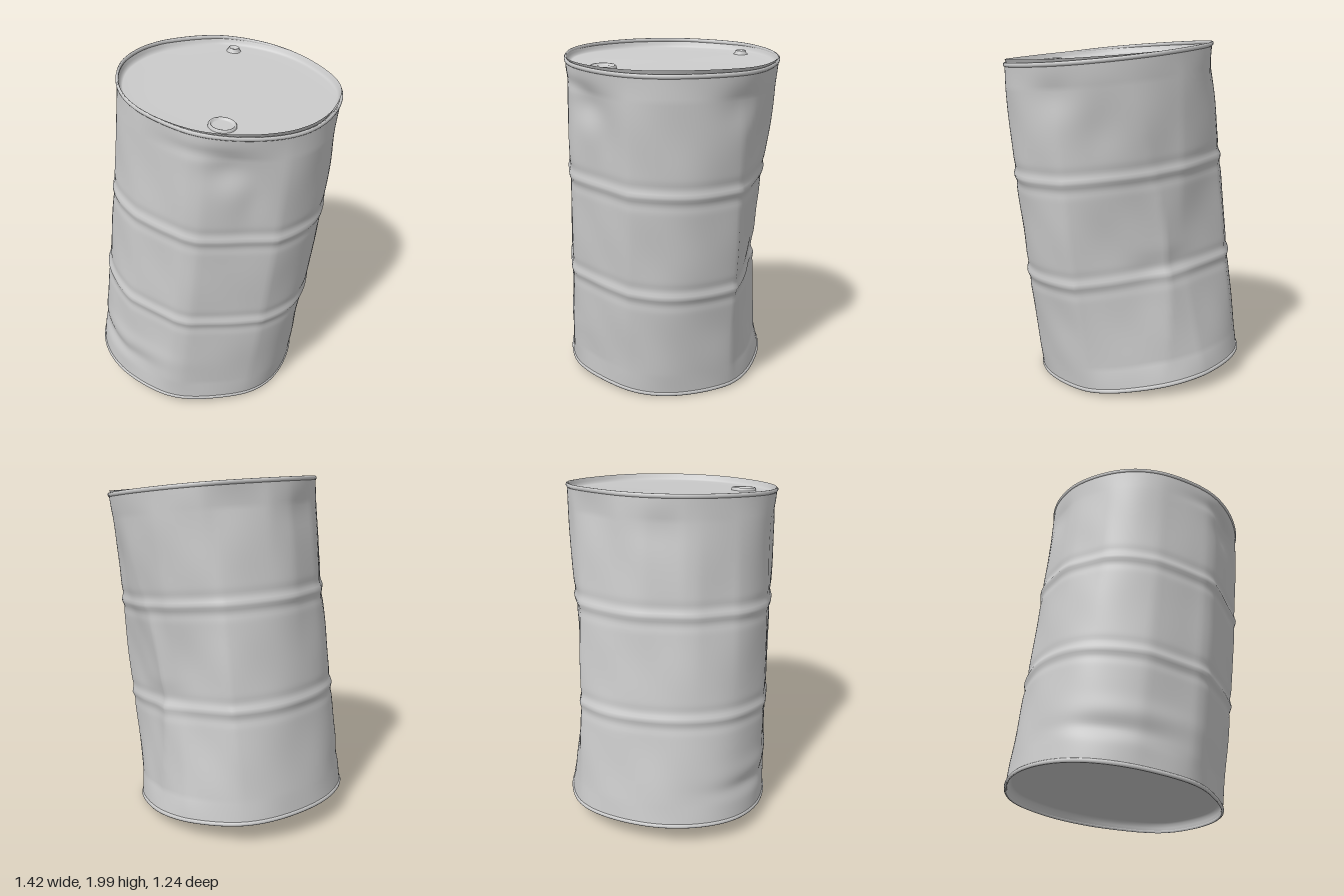
import * as THREE from 'three';
import { mergeVertices } from 'three/addons/utils/BufferGeometryUtils.js';

const H = 1.868;         // drum height along its own axis
const R = 0.603;         // wall radius
const LID_DROP = 0.04;   // lid sits below the top rim
const BASE_RISE = 0.055; // base sits above the bottom rim
const LID_SLOPE = 0.03;  // lid is pressed in unevenly
const SEGMENTS = 144;
const material = new THREE.MeshStandardMaterial({ color: 0xcccccc, side: THREE.DoubleSide });

const bell = (d, w) => Math.exp(-(d * d) / (w * w));
const turn = (a, b) => Math.atan2(Math.sin(a - b), Math.cos(a - b));

// Flattened areas: [direction, distance from axis, height, spread along height]
const flats = [
  [-1.2, 0.5, 0.74, 0.7],
  [-1.82, 0.52, 0.76, 0.55],
  [1.55, 0.583, 0.95, 1.0],
  [0.8, 0.565, 0.95, 0.75],
  [3.0, 0.594, 1.6, 0.45],
  [2.5, 0.592, 1.3, 0.4],
  [-2.55, 0.575, 1.87, 0.3],
];

// Local dents (negative depth bulges): [direction, height, angular width, height width, depth]
const dents = [
  [0.95, 1.66, 0.2, 0.1, 0.028],
  [1.2, 1.76, 0.3, 0.04, 0.012],
  [0.7, 1.5, 0.14, 0.16, 0.012],
  [0.0, 1.4, 0.4, 0.5, -0.014],
  [0.0, 0.6, 0.4, 0.4, -0.006],
  [2.05, 0.2, 0.42, 0.05, 0.016],
  [1.8, 0.3, 0.5, 0.06, -0.008],
  [-0.6, 1.7, 0.2, 0.12, 0.02],
  [-0.95, 1.48, 0.18, 0.14, 0.012],
  [-0.5, 0.4, 0.25, 0.18, 0.012],
  [-1.55, 0.7, 0.3, 0.07, 0.014],
  [3.1, 1.7, 0.3, 0.12, 0.01],
];

// Broad swelling that also carries the rims: [direction, height, angular width, height width, amount]
const swells = [
  [-0.72, 0.9, 0.32, 3, 0.018],
  [2.36, 0, 0.4, 0.5, 0.02],
  [2.36, 0.9, 0.4, 0.5, 0.012],
  [2.36, H, 0.4, 0.3, -0.008],
  [-2.36, 0, 0.4, 0.6, 0.02],
  [-2.36, 0.9, 0.35, 0.5, 0.012],
  [0.785, 0, 0.4, 0.5, -0.02],
];

const bumps = (list, a, t) => list.reduce((sum, [dir, height, wa, wt, amount]) =>
  sum + amount * bell(turn(a, dir), wa) * bell(t - height, wt), 0);

// Battered wall radius at a direction and height
function wallRadius(a, t) {
  const hold = Math.min(1, Math.max(0, Math.min(t, H - t) / 0.14)); // rims stay stiff
  let r = R;
  for (const [dir, dist, height, spread] of flats) {
    const c = Math.cos(turn(a, dir));
    if (c < 0.5) continue;
    const cut = r - dist / c;
    if (cut > 0) r -= cut * bell(t - height, spread) * (0.3 + 0.7 * hold);
  }
  const ripple = 0.003 * Math.sin(5 * a + 4 * t) * Math.sin(7 * t + 2 * Math.cos(a))
    + 0.002 * Math.sin(11 * a - 6 * t + 1) * Math.sin(9 * t);
  const outOfRound = 0.003 * Math.sin(3 * a + 0.6) + 0.002 * Math.sin(7 * a + 3 * t);
  return r + (ripple - bumps(dents, a, t)) * hold + bumps(swells, a, t) + outOfRound;
}

// Revolve a [radius, height] profile, then batter it with the wall
function batteredLathe(name, profile, slope = 0) {
  const points = profile.map(([r, t]) => new THREE.Vector2(r, t));
  let geometry = new THREE.LatheGeometry(points, SEGMENTS);
  geometry.deleteAttribute('uv');
  geometry.deleteAttribute('normal');
  geometry = mergeVertices(geometry, 1e-5);
  const p = geometry.attributes.position;
  for (let i = 0; i < p.count; i++) {
    const x = p.getX(i), t = p.getY(i), z = p.getZ(i);
    const a = Math.atan2(z, x);
    const k = wallRadius(a, t) / R;
    const bow = 0.018 * Math.sin(Math.PI * t / H);
    const wave = 0.004 * Math.sin(3 * a + t) * Math.hypot(x, z);
    p.setXYZ(i, x * k + bow, t + wave + slope * x, z * k + 0.022 * (1 - t / H) - 0.004);
  }
  geometry.computeVertexNormals();
  const mesh = new THREE.Mesh(geometry, material);
  mesh.name = name;
  return mesh;
}

// Slim rolled rim, almost flush with the wall
function rim(name, height) {
  const profile = [];
  for (let i = 0; i <= 10; i++) {
    const a = i / 10 * Math.PI * 2;
    profile.push([0.602 + 0.008 * Math.cos(a), height + 0.012 * Math.sin(a)]);
  }
  return batteredLathe(name, profile);
}

// Smooth plain lathe for the small fittings
function fitting(name, profile, x, z) {
  const points = profile.map(([r, y]) => new THREE.Vector2(r, y));
  const mesh = new THREE.Mesh(new THREE.LatheGeometry(points, 32), material);
  mesh.name = name;
  mesh.position.set(x, H - LID_DROP + LID_SLOPE * x, z);
  return mesh;
}

export function createModel() {
  const model = new THREE.Group();
  model.name = 'dentedDrum';
  const drum = new THREE.Group();
  drum.name = 'drum';
  model.add(drum);

  // Wall with two low rolling hoops
  const wall = [];
  for (let i = 0; i <= 120; i++) {
    const t = i / 120 * H;
    const hoops = [0.64, 1.225].reduce((s, h) =>
      s + 0.008 * bell(t - h, 0.02) - 0.004 * bell(Math.abs(t - h) - 0.05, 0.025), 0);
    wall.push([R + hoops, t]);
  }
  drum.add(batteredLathe('wall', wall));
  drum.add(rim('bottomRim', 0.012), rim('topRim', H - 0.012));

  // Recessed ends: radius and share of the recess depth
  const end = [[0.598, 0], [0.59, 0.5], [0.584, 0.85], [0.572, 1], [0.45, 1], [0.3, 1], [0.15, 1], [0, 1]];
  drum.add(batteredLathe('topLid', end.map(([r, d]) => [r, H - d * LID_DROP]), LID_SLOPE));
  drum.add(batteredLathe('bottomLid', end.map(([r, d]) => [r, d * BASE_RISE]).reverse()));

  // Large filler opening with a sunken plug, and the small vent plug
  drum.add(fitting('fillerPlug', [
    [0.074, -0.004], [0.072, 0.008], [0.067, 0.014], [0.061, 0.012],
    [0.057, 0.003], [0.05, 0.002], [0, 0.002],
  ], 0.225, 0.38));
  drum.add(fitting('ventPlug', [
    [0.045, -0.004], [0.04, 0.006], [0.034, 0.01], [0.032, 0.022],
    [0.026, 0.025], [0.021, 0.016], [0, 0.016],
  ], -0.25, -0.44));

  // The whole drum leans to its left
  drum.rotation.z = -0.11;
  drum.position.set(-0.096, 0.074, 0);
  return model;
}
